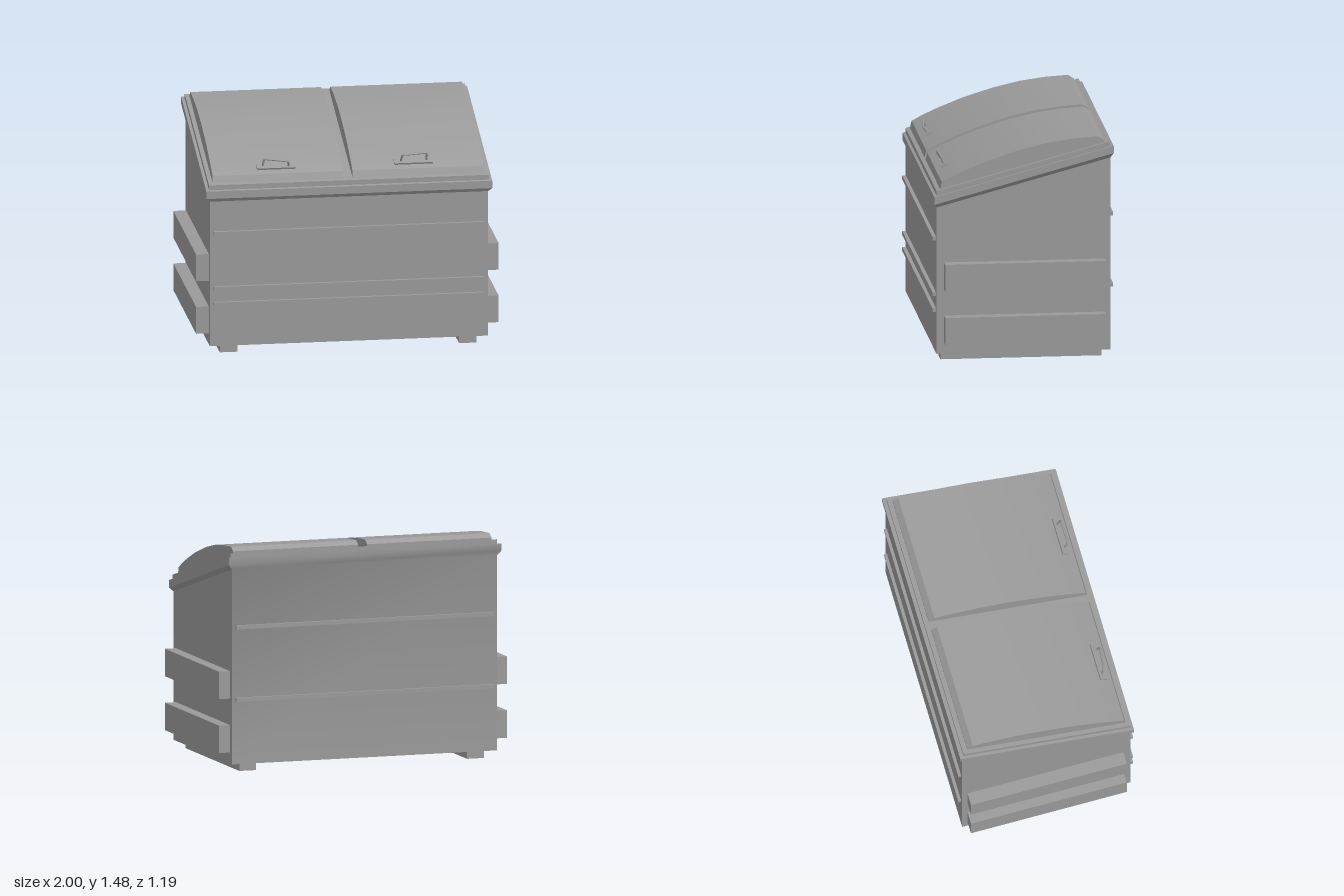
import * as THREE from 'three';
import { toCreasedNormals } from 'three/addons/utils/BufferGeometryUtils.js';

const paint = new THREE.MeshStandardMaterial({ color: 0x999999 });

function add(parent, name, geometry) {
  const mesh = new THREE.Mesh(geometry, paint);
  mesh.name = name;
  parent.add(mesh);
  return mesh;
}

// Box given by its limits on each axis
function box(parent, name, x0, x1, y0, y1, z0, z1) {
  const g = new THREE.BoxGeometry(x1 - x0, y1 - y0, z1 - z0);
  g.translate((x0 + x1) / 2, (y0 + y1) / 2, (z0 + z1) / 2);
  return add(parent, name, g);
}

// Capped loft through sloping rectangles: [half width, front z, front y, back z, back y]
function slopedLoft(rings) {
  const corners = rings.map(([w, zf, yf, zb, yb]) => [
    [-w, yf, zf], [w, yf, zf], [w, yb, zb], [-w, yb, zb],
  ]);
  const pos = [];
  const quad = (a, b, c, d) => pos.push(...a, ...b, ...c, ...a, ...c, ...d);
  for (let i = 0; i < corners.length - 1; i++) {
    const lo = corners[i], hi = corners[i + 1];
    for (let k = 0; k < 4; k++) {
      const n = (k + 1) % 4;
      quad(lo[k], lo[n], hi[n], hi[k]);
    }
  }
  const b = corners[0], t = corners[corners.length - 1];
  quad(b[3], b[2], b[1], b[0]);
  quad(t[0], t[1], t[2], t[3]);
  const g = new THREE.BufferGeometry();
  g.setAttribute('position', new THREE.Float32BufferAttribute(pos, 3));
  // Shades smoothly over the shallow flare at the back, keeps all other edges sharp
  return toCreasedNormals(g, 0.56);
}

// Domed lid: side profile in (z, y), extruded along x
function lidGeometry(x0, x1) {
  const profile = [
    [0.546, 1.15], [0.534, 1.2], [0.46, 1.24], [0.36, 1.285], [0.2, 1.348], [0, 1.41],
    [-0.173, 1.45], [-0.342, 1.473], [-0.495, 1.483], [-0.534, 1.458], [-0.534, 1.435],
  ];
  const shape = new THREE.Shape(profile.map(([z, y]) => new THREE.Vector2(z, y)));
  const g = new THREE.ExtrudeGeometry(shape, { depth: x1 - x0, bevelEnabled: false });
  g.rotateY(-Math.PI / 2);
  g.translate(x1, 0, 0);
  return toCreasedNormals(g, 0.25);
}

// Bent rod through four points with rounded corners
function handleGeometry(points) {
  const p = points.map((a) => new THREE.Vector3(...a));
  const path = new THREE.CurvePath();
  const near = (a, b) => a.clone().add(b.clone().sub(a).setLength(0.015));
  let start = p[0];
  for (let i = 1; i < 3; i++) {
    const before = near(p[i], p[i - 1]), after = near(p[i], p[i + 1]);
    path.add(new THREE.LineCurve3(start, before));
    path.add(new THREE.QuadraticBezierCurve3(before, p[i], after));
    start = after;
  }
  path.add(new THREE.LineCurve3(start, p[3]));
  return new THREE.TubeGeometry(path, 40, 0.007, 8);
}

export function createModel() {
  const model = new THREE.Group();
  model.name = 'dumpster';

  // Everything but the fork pockets sits slightly to the left
  const bin = new THREE.Group();
  bin.name = 'bin';
  bin.position.x = 0.004;
  model.add(bin);

  // Container with sloping top and flared rim
  add(bin, 'body', slopedLoft([
    [0.92, 0.572, 0.054, -0.574, 0.054],
    [0.92, 0.572, 1.037, -0.574, 1.345],
    [0.945, 0.588, 1.06, -0.593, 1.378],
    [0.945, 0.588, 1.11, -0.593, 1.426],
  ]));

  // Raised frame under the lids
  add(bin, 'lidFrame', slopedLoft([
    [0.925, 0.571, 1.11, -0.567, 1.414],
    [0.925, 0.571, 1.147, -0.567, 1.451],
  ]));

  // Lids
  add(bin, 'leftLid', lidGeometry(0.028, 0.897));
  add(bin, 'rightLid', lidGeometry(-0.897, -0.034));

  // Lid handles on sloping plates
  const handles = [
    ['right', -0.471, [[-0.558, 1.235, 0.475], [-0.55, 1.292, 0.495], [-0.389, 1.274, 0.512], [-0.389, 1.235, 0.485]]],
    ['left', 0.438, [[0.355, 1.235, 0.48], [0.362, 1.287, 0.509], [0.525, 1.295, 0.503], [0.525, 1.235, 0.478]]],
  ];
  for (const [side, x, points] of handles) {
    const plate = add(bin, side + 'HandlePlate', new THREE.BoxGeometry(0.255, 0.014, 0.05));
    plate.position.set(x, 1.235, 0.48);
    plate.rotation.x = 0.46;
    add(bin, side + 'Handle', handleGeometry(points));
  }

  // Horizontal stiffening ribs
  for (const y of [0.342, 0.448, 0.822]) {
    box(bin, 'frontRib', -0.895, 0.893, y - 0.013, y + 0.013, 0.57, 0.596);
  }
  for (const y of [0.482, 0.961]) {
    box(bin, 'backRib', -0.895, 0.893, y - 0.013, y + 0.013, -0.594, -0.57);
  }

  for (const s of [-1, 1]) {
    const side = s > 0 ? 'left' : 'right';
    const span = (a, b) => (s > 0 ? [a, b] : [-b, -a]);

    // Fork pockets
    for (const y of [0.128, 0.485]) {
      box(model, side + 'ForkPocket', ...span(0.915, 1), y, y + 0.182, -0.538, 0.522);
    }

    // Hollow skids, open underneath
    const skid = new THREE.Group();
    skid.name = side + 'Skid';
    bin.add(skid);
    box(skid, 'outerWall', ...span(0.841, 0.849), 0, 0.055, -0.522, 0.538);
    box(skid, 'innerWall', ...span(0.732, 0.74), 0, 0.055, -0.522, 0.538);
    box(skid, 'frontWall', ...span(0.74, 0.841), 0, 0.055, 0.53, 0.538);
    box(skid, 'backWall', ...span(0.74, 0.841), 0, 0.055, -0.522, -0.514);
  }
  return model;
}
